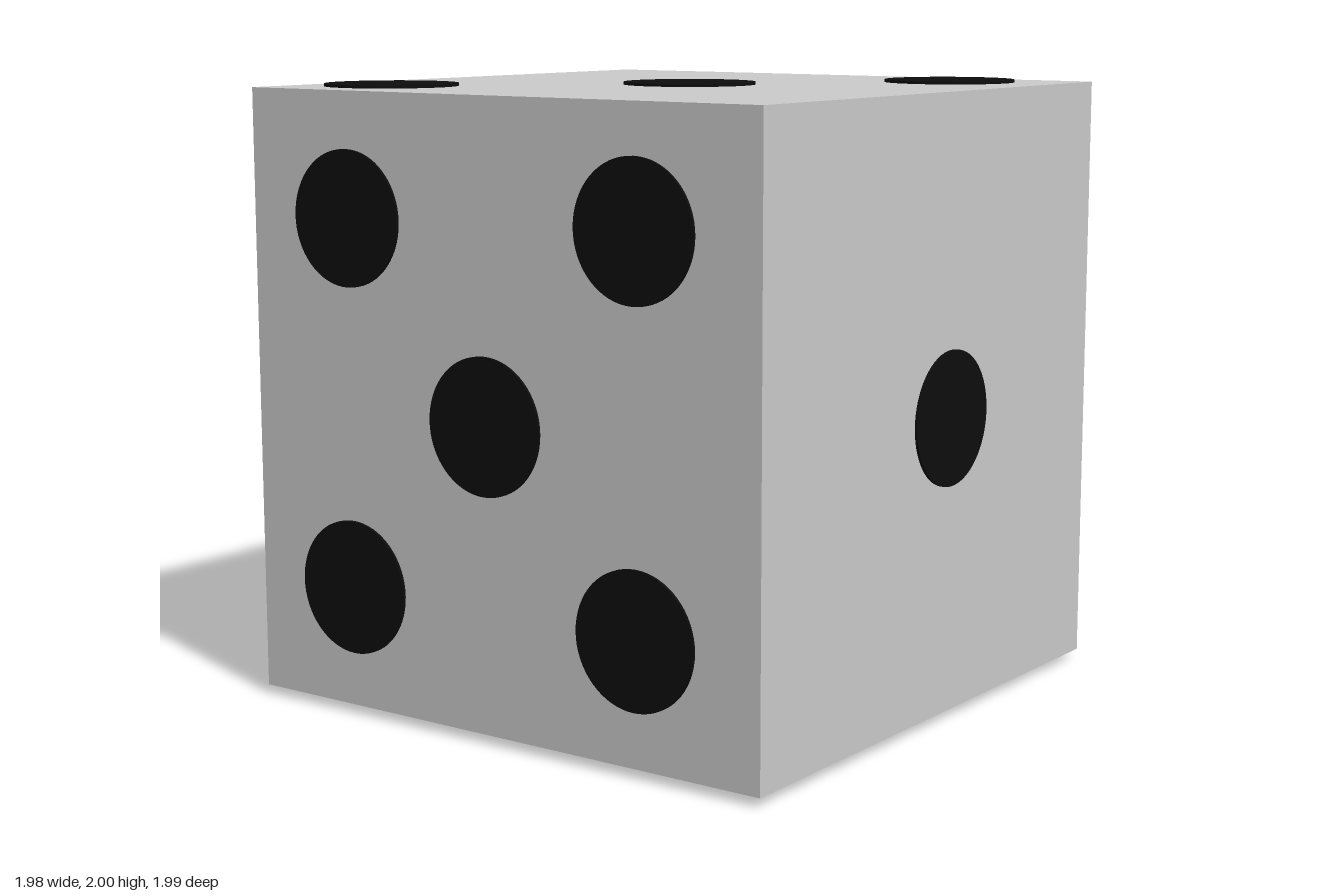
import * as THREE from 'three';

export function createModel() {
  const model = new THREE.Group();
  const bodyMaterial = new THREE.MeshStandardMaterial({ color: 0xcccccc });
  const pipMaterial = new THREE.MeshStandardMaterial({ color: 0x0d0d0d });

  // Sharp-edged cube
  const body = new THREE.Mesh(new THREE.BoxGeometry(1.96, 1.96, 1.96), bodyMaterial);
  body.name = 'dieBody';
  body.position.set(0, 1.01, -0.004);
  model.add(body);

  // Thin round pips standing just off each face; at = centre of the disc along the axis
  const thickness = 0.009;
  const pipGeometry = new THREE.CylinderGeometry(0.215, 0.215, thickness, 64);
  const faces = [
    { name: 'front', axis: 'z', at: 0.99, pips: [[0.05, 0.98]] },
    { name: 'back', axis: 'z', at: -0.99,
      pips: [-0.595, 0.615].flatMap((x) => [1.545, 0.955, 0.42].map((y) => [x, y])) },
    { name: 'left', axis: 'x', at: 0.985,
      pips: [[0.535, 1.62], [-0.515, 1.62], [0.595, 0.445], [-0.515, 0.445]] },
    { name: 'right', axis: 'x', at: -0.987,
      pips: [[-0.58, 1.595], [0.535, 1.62], [-0.03, 0.995], [-0.58, 0.42], [0.535, 0.42]] },
    { name: 'top', axis: 'y', at: 2 - thickness / 2,
      pips: [[-0.66, -0.68], [-0.005, 0.025], [0.655, 0.615]] },
    { name: 'bottom', axis: 'y', at: thickness / 2, pips: [[0.63, 0.595], [-0.61, -0.56]] },
  ];

  for (const { name, axis, at, pips } of faces) {
    const group = new THREE.Group();
    group.name = `${name}Pips`;
    for (const [u, v] of pips) {
      const pip = new THREE.Mesh(pipGeometry, pipMaterial);
      pip.name = 'pip';
      if (axis === 'x') {
        pip.position.set(at, v, u);
        pip.rotation.z = Math.PI / 2;
      } else if (axis === 'y') {
        pip.position.set(u, at, v);
      } else {
        pip.position.set(u, v, at);
        pip.rotation.x = Math.PI / 2;
      }
      group.add(pip);
    }
    model.add(group);
  }
  return model;
}
